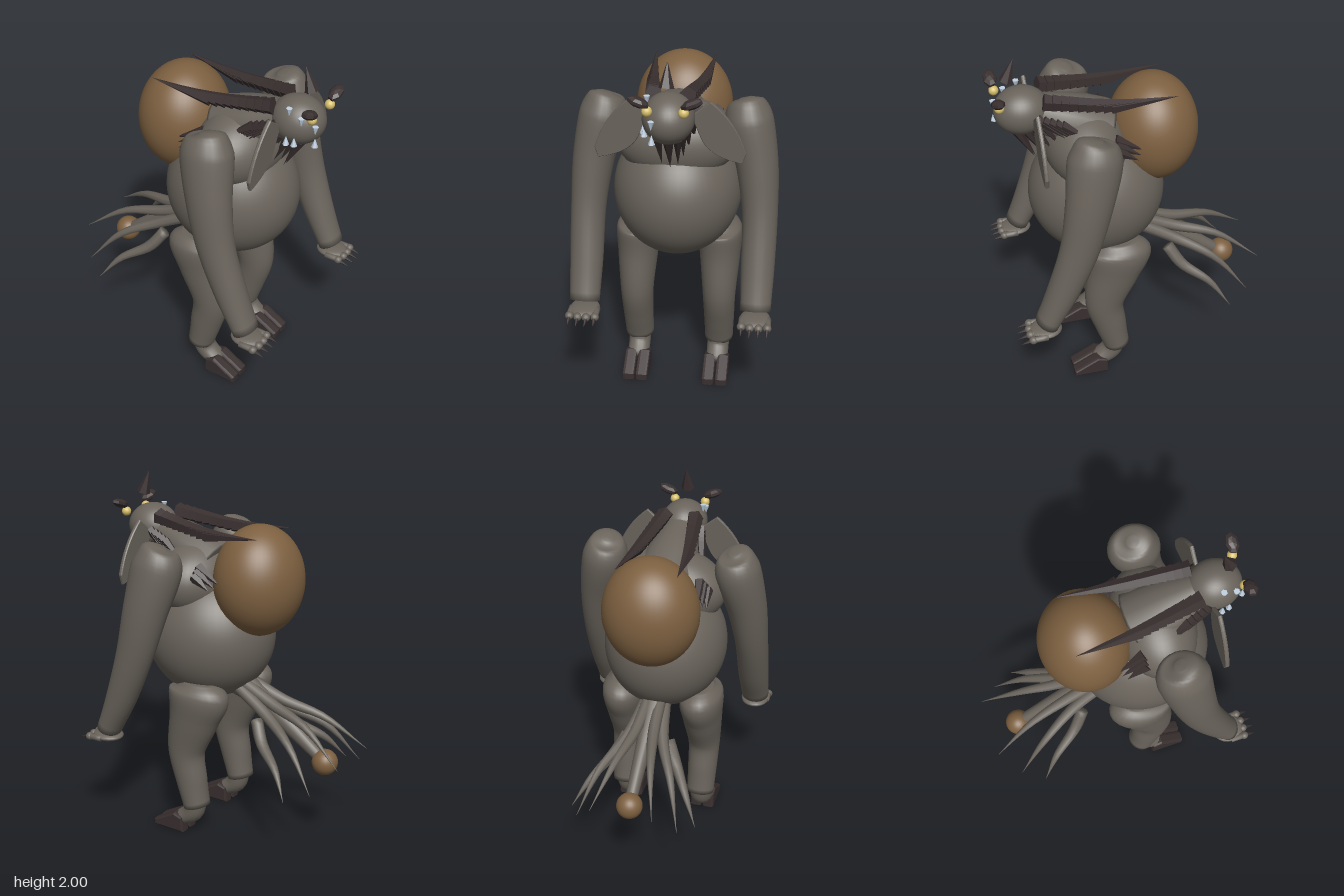
import * as THREE from 'three';

const V = (a) => new THREE.Vector3(a[0], a[1], a[2]);

export function createModel() {
  const model = new THREE.Group();
  const mat = (name, color) => {
    const m = new THREE.MeshStandardMaterial({ color });
    m.name = name;
    return m;
  };
  const hide = mat('grey hide', 0x69635b);
  const dark = mat('dark horn', 0x392f2f);
  const brown = mat('brown sack', 0x7d6040);
  const gold = mat('yellow eye', 0xd6be6c);
  const ivory = mat('pale tooth', 0xc2d2e2);

  const add = (name, geometry, material) => {
    const mesh = new THREE.Mesh(geometry, material);
    mesh.name = name;
    model.add(mesh);
    return mesh;
  };
  const facet = (g) => {
    const f = g.index ? g.toNonIndexed() : g;
    f.computeVertexNormals();
    return f;
  };
  const ball = (name, c, r, material, seg = 32) => {
    const m = add(name, new THREE.SphereGeometry(1, seg, Math.ceil(seg * 0.7)), material);
    m.position.copy(V(c));
    m.scale.copy(V(r));
    return m;
  };

  // Smooth limb through [x, y, z, radius in the side plane, radius across]
  const loft = (name, stations, material, steps = 24, sides = 20) => {
    const path = new THREE.CatmullRomCurve3(stations.map(V), false, 'centripetal');
    const radii = new THREE.SplineCurve(stations.map((p) => new THREE.Vector2(p[3], p[4])));
    const pos = [], idx = [], across = new THREE.Vector3(), up = new THREE.Vector3();
    for (let i = 0; i <= steps; i++) {
      const c = path.getPoint(i / steps), t = path.getTangent(i / steps), r = radii.getPoint(i / steps);
      across.set(0, 0, 1).addScaledVector(t, -t.z).normalize();
      up.crossVectors(across, t);
      for (let j = 0; j < sides; j++) {
        const a = (j / sides) * Math.PI * 2;
        const p = c.clone().addScaledVector(up, r.x * Math.cos(a)).addScaledVector(across, r.y * Math.sin(a));
        pos.push(p.x, p.y, p.z);
        if (i === steps) continue;
        const k = i * sides, n = (j + 1) % sides;
        idx.push(k + j, k + n, k + sides + j, k + n, k + sides + n, k + sides + j);
      }
    }
    const first = pos.length / 3, end = steps * sides;
    pos.push(...stations[0].slice(0, 3), ...stations[stations.length - 1].slice(0, 3));
    for (let j = 0; j < sides; j++) {
      const n = (j + 1) % sides;
      idx.push(first, n, j, first + 1, end + j, end + n);
    }
    const g = new THREE.BufferGeometry();
    g.setAttribute('position', new THREE.Float32BufferAttribute(pos, 3));
    g.setIndex(idx);
    g.computeVertexNormals();
    return add(name, g, material);
  };

  // Straight faceted cone from base to tip
  const spike = (name, base, tip, r, material, sides = 5) => {
    const a = V(base), d = V(tip).sub(a), len = d.length();
    const m = add(name, facet(new THREE.ConeGeometry(r, len, sides)), material);
    m.position.copy(a).addScaledVector(d, 0.5);
    m.quaternion.setFromUnitVectors(new THREE.Vector3(0, 1, 0), d.normalize());
    return m;
  };

  // Trunk, neck, head and back hump
  ball('belly', [0.18, 1.14, 0], [0.37, 0.365, 0.342], hide, 48);
  ball('chest', [0.24, 1.45, 0], [0.22, 0.22, 0.32], hide, 40);
  loft('neck', [[0.14, 1.52, 0, 0.15, 0.17], [0.3, 1.6, 0, 0.13, 0.15], [0.52, 1.68, 0, 0.1, 0.1]], hide);
  ball('hump', [-0.135, 1.485, 0], [0.242, 0.303, 0.262], brown, 48);
  ball('head', [0.56, 1.695, 0], [0.145, 0.127, 0.13], hide, 32);
  spike('crownHorn', [0.628, 1.875, 0], [0.585, 2, 0], 0.038, dark, 6);

  // Teeth along the mouth on one cheek: upper row points down, lower row up
  [[0.565, 1.79, 0.105], [0.635, 1.755, 0.105], [0.695, 1.71, 0.068]].forEach((p) =>
    spike('upperTooth', [p[0], p[1] + 0.018, p[2]], [p[0], p[1] - 0.03, p[2]], 0.017, ivory, 6));
  [[0.565, 1.635, 0.125], [0.605, 1.635, 0.115], [0.695, 1.635, 0.065]].forEach((p) =>
    spike('lowerTooth', [p[0], p[1] - 0.025, p[2]], [p[0], p[1] + 0.025, p[2]], 0.017, ivory, 6));

  // Tail with ball tip
  loft('tail', [[0.06, 0.92, 0, 0.09, 0.09], [-0.15, 0.81, 0, 0.06, 0.055], [-0.36, 0.67, 0, 0.045, 0.04],
    [-0.54, 0.54, 0, 0.033, 0.033]], hide);
  ball('tailBall', [-0.563, 0.525, 0], [0.072, 0.072, 0.072], brown, 24);

  // Beard hanging below the chin
  for (let i = 0; i < 4; i++) {
    spike('beard', [0.6 - i * 0.04, 1.6, 0], [0.5 - i * 0.03, 1.4 + i * 0.015, 0], 0.03, dark);
  }

  for (const s of [-1, 1]) {
    const side = (p) => [p[0], p[1], p[2] * s, ...p.slice(3)];

    // Face: eyes, small horns and hanging ears
    ball('eye', side([0.683, 1.775, 0.088]), [0.026, 0.026, 0.026], gold, 16);
    const brow = add('browHorn', facet(new THREE.SphereGeometry(1, 7, 5)), dark);
    brow.position.set(0.692, 1.825, 0.128 * s);
    brow.scale.set(0.037, 0.024, 0.058);
    brow.rotation.x = -0.35 * s;
    const leaf = new THREE.Shape();
    leaf.moveTo(0.11 * s, 1.69);
    leaf.lineTo(0.2 * s, 1.765);
    leaf.quadraticCurveTo(0.33 * s, 1.66, 0.375 * s, 1.5);
    leaf.lineTo(0.36 * s, 1.45);
    leaf.quadraticCurveTo(0.2 * s, 1.48, 0.16 * s, 1.57);
    leaf.closePath();
    const ear = new THREE.ExtrudeGeometry(leaf, {
      depth: 0.01, bevelEnabled: true, bevelSize: 0.004, bevelThickness: 0.006, bevelSegments: 1, curveSegments: 8,
    });
    ear.rotateY(-Math.PI / 2).translate(0.515, 0, 0);
    add('ear', ear, hide);

    // Mane on the sides of the head and throat
    for (let i = 0; i < 5; i++) {
      spike('cheekMane', side([0.6 - i * 0.045, 1.6 + i * 0.015, 0.05 + i * 0.02]),
        side([0.51 - i * 0.045, 1.42 + i * 0.025, 0.04 + i * 0.022]), 0.024, dark);
      spike('neckMane', side([0.5 - i * 0.03, 1.7 - i * 0.01, 0.11 + i * 0.008]),
        side([0.36 - i * 0.04, 1.58 - i * 0.01, 0.16 + i * 0.008]), 0.028, dark);
    }

    // Overlapping quills sweeping back over the shoulders
    for (let i = 0; i < 9; i++) {
      const f = i / 8;
      spike('backQuill', side([0.46 - f * 0.34, 1.775 - f * 0.055, 0.085 + f * 0.05]),
        side([0.19 - f * 0.42, 1.72 + f * 0.03, 0.125 + f * 0.04]), 0.047 - f * 0.012, dark);
    }
    for (let i = 0; i < 3; i++) {
      spike('shoulderTuft', side([0.12, 1.56 - i * 0.02, 0.2 + i * 0.02]),
        side([-0.03 + i * 0.02, 1.49 - i * 0.015, 0.225 + i * 0.02]), 0.035, dark);
    }

    // Arm
    loft('arm', [[0.25, 1.695, 0.355, 0.03, 0.03], [0.257, 1.675, 0.36, 0.1, 0.09], [0.265, 1.58, 0.375, 0.142, 0.125],
      [0.31, 1.35, 0.425, 0.125, 0.11], [0.37, 1.1, 0.45, 0.105, 0.093], [0.47, 0.83, 0.452, 0.085, 0.088],
      [0.565, 0.625, 0.452, 0.065, 0.08]].map(side), hide, 32, 24);

    // Hand with four clawed fingers
    ball('hand', side([0.575, 0.583, 0.452]), [0.09, 0.026, 0.08], hide, 20);
    for (let i = 0; i < 4; i++) {
      const z = 0.385 + i * 0.045, x = 0.665 - Math.abs(i - 1.5) * 0.008;
      loft('finger', [[x - 0.08, 0.58, z, 0.018, 0.018], [x, 0.58, z, 0.018, 0.018]].map(side), hide, 2, 8);
      ball('knuckle', side([x, 0.578, z]), [0.024, 0.022, 0.023], hide, 12);
      spike('claw', side([x + 0.01, 0.576, z]), side([x + 0.068, 0.56, z]), 0.013, dark, 6);
    }

    // Leg
    loft('leg', [[0.11, 0.92, 0.22, 0.1, 0.07], [0.11, 0.86, 0.225, 0.182, 0.12], [0.14, 0.72, 0.228, 0.152, 0.112],
      [0.195, 0.5, 0.23, 0.11, 0.092], [0.165, 0.33, 0.23, 0.092, 0.085], [0.13, 0.17, 0.228, 0.075, 0.08]].map(side),
    hide, 30, 24);
    loft('ankle', [[0.135, 0.2, 0.226, 0.06, 0.062], [0.16, 0.12, 0.226, 0.06, 0.062],
      [0.25, 0.06, 0.226, 0.042, 0.06]].map(side), hide, 12, 16);

    // Cloven hoof
    const hoof = new THREE.Shape([[0.2, 0.01], [0.38, 0.01], [0.38, 0.03], [0.25, 0.1], [0.205, 0.085]]
      .map((p) => new THREE.Vector2(...p)));
    for (const z of [0.188, 0.262]) {
      const g = new THREE.ExtrudeGeometry(hoof, {
        depth: 0.036, bevelEnabled: true, bevelSize: 0.01, bevelThickness: 0.016, bevelSegments: 2,
      });
      add('hoof', g.translate(0, 0, z * s - 0.018), dark);
    }

    // Fanned tail spines, each curving down to a point
    const spines = [
      [[0, 0.92, 0.03], [-0.26, 0.81, 0.05], [-0.5, 0.74, 0.1], [-0.73, 0.58, 0.17]],
      [[-0.02, 0.88, 0.05], [-0.25, 0.76, 0.1], [-0.46, 0.65, 0.2], [-0.63, 0.45, 0.28]],
      [[-0.2, 0.73, 0.12], [-0.27, 0.63, 0.18], [-0.41, 0.54, 0.27], [-0.51, 0.41, 0.35]],
    ];
    const thick = [0.034, 0.032, 0.02, 0.001];
    for (const p of spines) {
      loft('tailSpine', p.map((q, i) => side([...q, thick[i], thick[i]])), hide, 14, 8);
    }
  }
  return model;
}
